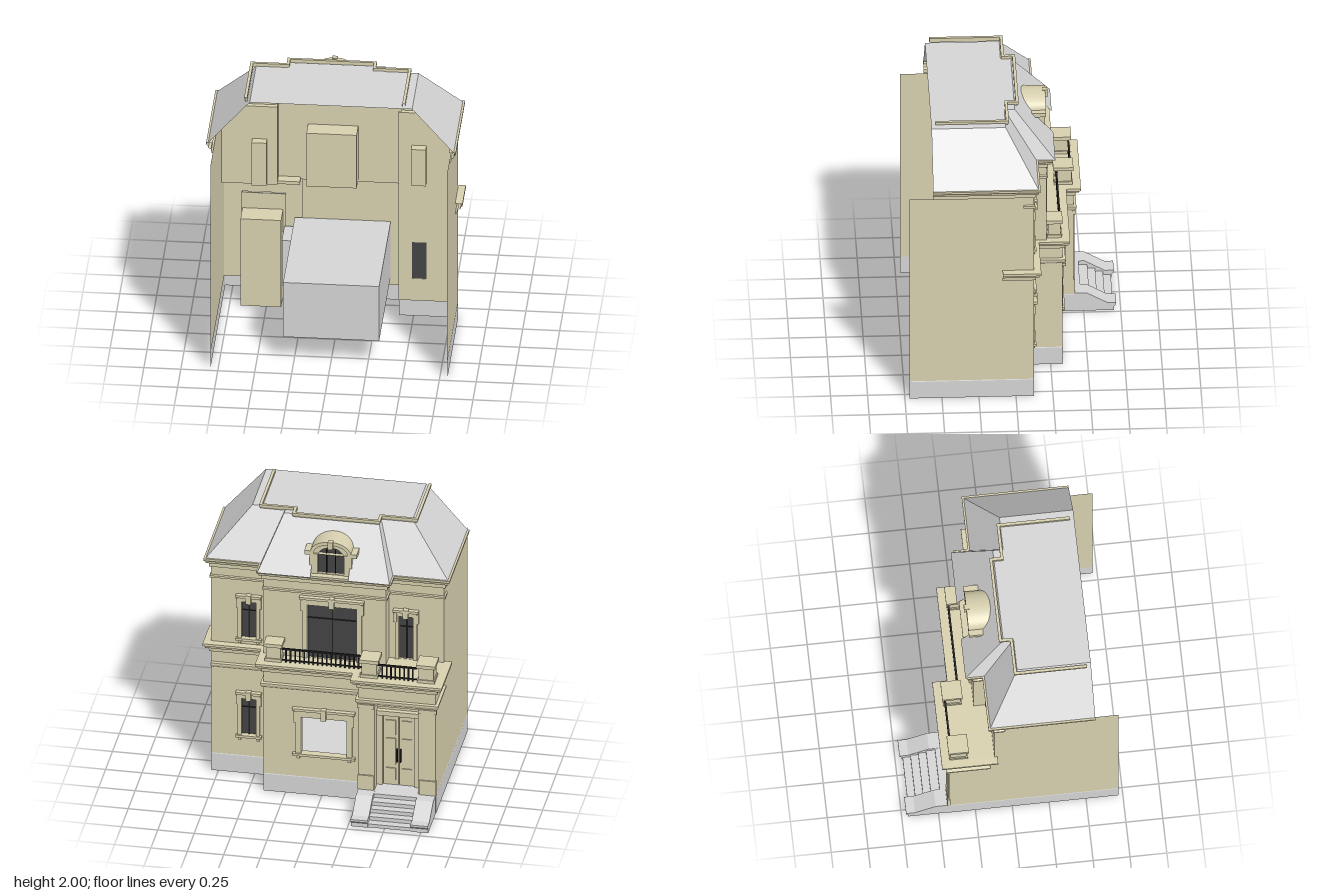
import * as THREE from 'three';

const material = (name, color) => {
  const m = new THREE.MeshStandardMaterial({ color, side: THREE.DoubleSide });
  m.name = name;
  return m;
};

export function createModel() {
  const house = new THREE.Group();
  house.name = 'townHouse';
  const stone = material('sandstone', 0xd6cfae);
  const grey = material('greySlate', 0xd4d4d4);
  const dark = material('darkGlass', 0x444444);
  const iron = material('blackIron', 0x202020);

  const add = (name, geo, mat, parent = house) => {
    const m = new THREE.Mesh(geo, mat);
    m.name = name;
    parent.add(m);
    return m;
  };
  const box = (name, mat, x0, x1, y0, y1, z0, z1, parent) => {
    const g = new THREE.BoxGeometry(x1 - x0, y1 - y0, z1 - z0);
    g.translate((x0 + x1) / 2, (y0 + y1) / 2, (z0 + z1) / 2);
    return add(name, g, mat, parent);
  };
  // flat four-cornered faces
  const quads = (name, mat, list) => {
    const p = [];
    for (const [a, b, c, d] of list) p.push(...a, ...b, ...c, ...a, ...c, ...d);
    const g = new THREE.BufferGeometry();
    g.setAttribute('position', new THREE.Float32BufferAttribute(p, 3));
    g.computeVertexNormals();
    return add(name, g, mat);
  };
  // profile of [outward, y] run along a plan path of [x, z] with mitred corners
  const sweep = (name, mat, path, profile) => {
    const normals = path.slice(1).map(([x, z], i) => {
      const dx = x - path[i][0], dz = z - path[i][1], l = Math.hypot(dx, dz);
      return [-dz / l, dx / l];
    });
    const rings = path.map(([x, z], i) => {
      const a = normals[Math.max(i - 1, 0)], b = normals[Math.min(i, normals.length - 1)];
      const k = 1 + a[0] * b[0] + a[1] * b[1];
      return profile.map(([o, y]) => [x + o * (a[0] + b[0]) / k, y, z + o * (a[1] + b[1]) / k]);
    });
    const list = [];
    for (let i = 0; i + 1 < rings.length; i++)
      for (let j = 0; j + 1 < profile.length; j++)
        list.push([rings[i][j], rings[i + 1][j], rings[i + 1][j + 1], rings[i][j + 1]]);
    return quads(name, mat, list);
  };
  const rect = (Type, x0, x1, y0, y1) => new Type([[x0, y0], [x1, y0], [x1, y1], [x0, y1]].map(p => new THREE.Vector2(...p)));
  // wall facing the street, with rectangular openings [x0, x1, y0, y1]
  const wall = (name, x0, x1, y0, y1, z, depth, holes) => {
    const s = rect(THREE.Shape, x0, x1, y0, y1);
    s.holes = holes.map(h => rect(THREE.Path, ...h));
    const g = new THREE.ExtrudeGeometry(s, { depth, bevelEnabled: false });
    g.translate(0, 0, z);
    return add(name, g, stone);
  };
  const sidePlane = (name, x, z0, z1, y0, y1) =>
    quads(name, stone, [[[x, y0, z0], [x, y0, z1], [x, y1, z1], [x, y1, z0]]]);

  // Walls
  wall('leftWingWall', 0.4, 0.8, 0.13, 1.58, -0.12, 0.02, [[0.49, 0.59, 0.3, 0.58], [0.49, 0.59, 1.05, 1.33]]);
  wall('rightWingWall', -0.8, -0.42, 0.98, 1.58, -0.12, 0.02, [[-0.59, -0.49, 1.0, 1.33]]);
  wall('lowerBayWall', -0.27, 0.4, 0.13, 0.98, -0.33, 0.03, [[-0.17, 0.14, 0.32, 0.6]]);
  wall('upperBayWall', -0.42, 0.42, 0.98, 1.6, -0.22, 0.03, [[-0.22, 0.12, 1.0, 1.41]]);
  wall('porchFront', -0.8, -0.27, 0.13, 0.98, -0.43, 0.1, [[-0.68, -0.38, 0.135, 0.79]]);
  sidePlane('leftSideWall', 0.8, 0.72, -0.12, 0.13, 1.58);
  sidePlane('rightSideWall', -0.8, 0.72, -0.12, 0.13, 1.58);
  sidePlane('porchSideWall', -0.8, -0.12, -0.43, 0.13, 0.98);
  sidePlane('lowerBaySide', 0.4, -0.12, -0.33, 0.13, 0.98);
  for (const x of [-0.42, 0.42]) sidePlane('upperBaySide', x, -0.12, -0.22, 0.98, 1.6);
  const ground = [[0.8, 0.72], [0.8, -0.12], [0.4, -0.12], [0.4, -0.33], [-0.27, -0.33], [-0.27, -0.43], [-0.8, -0.43], [-0.8, 0.72]];
  sweep('plinth', grey, ground, [[0.002, 0], [0.002, 0.13], [0, 0.135]]);

  // Mouldings
  const upper = (back) => [[0.8, back], [0.8, -0.12], [0.42, -0.12], [0.42, -0.22], [-0.42, -0.22], [-0.42, -0.12], [-0.8, -0.12], [-0.8, back]];
  const lower = [[0.8, 0.09], ...ground.slice(1, 7), [-0.8, -0.1]];
  sweep('eavesCornice', stone, upper(0.56), [[0, 1.575], [0.012, 1.58], [0.012, 1.605], [0.03, 1.615], [0.035, 1.63], [0.045, 1.64], [0.045, 1.655], [0, 1.655]]);
  sweep('upperStringCourse', stone, upper(-0.05), [[0, 1.495], [0.01, 1.495], [0.01, 1.51], [0, 1.515]]);
  sweep('balconyCornice', stone, lower, [[0, 0.92], [0.012, 0.925], [0.015, 0.95], [0.035, 0.96], [0.04, 0.975], [0.05, 0.98], [0.05, 0.998], [0, 1.0]]);
  sweep('lowerStringCourse', stone, lower.slice(1, 7).concat([[-0.8, -0.15]]), [[0, 0.8], [0.01, 0.805], [0.02, 0.825], [0.02, 0.838], [0, 0.842]]);

  // Mansard roof
  const eave = [[0.835, 0.56], [0.835, -0.155], [0.455, -0.155], [0.455, -0.28], [-0.455, -0.28], [-0.455, -0.155], [-0.835, -0.155], [-0.835, 0.56]];
  const crown = [[0.55, 0.56], [0.55, 0.06], [0.32, 0.06], [0.32, -0.01], [-0.33, -0.01], [-0.33, 0.06], [-0.55, 0.06], [-0.55, 0.56]];
  const at = ([x, z], y) => [x, y, z];
  const slopeZ = (y) => -0.28 + (y - 1.65) * 0.27 / 0.33;
  const slopes = [];
  for (let i = 0; i < 7; i++)
    if (i !== 3) slopes.push([at(eave[i], 1.65), at(eave[i + 1], 1.65), at(crown[i + 1], 1.98), at(crown[i], 1.98)]);
  // bay slope, left open where the dormer stands
  const nx0 = -0.17, nx1 = 0.09, ny = 1.82;
  slopes.push(
    [[0.455, 1.65, -0.28], [nx1, 1.65, -0.28], [nx1, 1.98, -0.01], [0.32, 1.98, -0.01]],
    [[nx0, 1.65, -0.28], [-0.455, 1.65, -0.28], [-0.33, 1.98, -0.01], [nx0, 1.98, -0.01]],
    [[nx1, ny, slopeZ(ny)], [nx0, ny, slopeZ(ny)], [nx0, 1.98, -0.01], [nx1, 1.98, -0.01]],
    [[-0.55, 1.98, 0.06], [0.55, 1.98, 0.06], [0.55, 1.98, 0.56], [-0.55, 1.98, 0.56]],
    [[-0.33, 1.98, -0.01], [0.32, 1.98, -0.01], [0.32, 1.98, 0.06], [-0.33, 1.98, 0.06]]);
  quads('mansardRoof', grey, slopes);
  sweep('roofCrest', stone, [[0.49, 0.53], [0.49, 0.045], [0.25, 0.045], [0.25, -0.03], [-0.335, -0.03], [-0.335, 0.045], [-0.58, 0.045], [-0.58, 0.53]],
    [[-0.01, 1.97], [0.003, 1.97], [0.01, 1.985], [0.01, 2], [-0.01, 2], [-0.01, 1.97]]);

  // Dormer: arched front, barrel roof dying into the slope, eared mouldings
  const cx = -0.04;
  const arch = (Type, rx, ry, y0, spring) => {
    const s = new Type();
    s.moveTo(cx - rx, y0);
    s.lineTo(cx + rx, y0);
    s.lineTo(cx + rx, spring);
    s.absellipse(cx, spring, rx, ry, 0, Math.PI, false, 0);
    s.lineTo(cx - rx, y0);
    return s;
  };
  const face = arch(THREE.Shape, 0.13, 0.085, 1.65, 1.81);
  face.holes = [arch(THREE.Path, 0.09, 0.07, 1.66, 1.79)];
  const faceGeo = new THREE.ExtrudeGeometry(face, { depth: 0.03, bevelEnabled: false, curveSegments: 20 });
  faceGeo.translate(0, 0, -0.22);
  add('dormerFront', faceGeo, stone);
  const hood = arch(THREE.Shape, 0.14, 0.09, 1.81, 1.82);
  hood.holes = [arch(THREE.Path, 0.115, 0.065, 1.811, 1.82)];
  const hoodGeo = new THREE.ExtrudeGeometry(hood, { depth: 0.2, bevelEnabled: false, curveSegments: 20 });
  const hp = hoodGeo.attributes.position;
  for (let i = 0; i < hp.count; i++) hp.setZ(i, hp.getZ(i) > 0.1 ? slopeZ(hp.getY(i)) : -0.23);
  add('dormerBarrelRoof', hoodGeo, stone);
  const pane = new THREE.ShapeGeometry(arch(THREE.Shape, 0.092, 0.072, 1.655, 1.79), 16);
  pane.translate(0, 0, -0.2);
  add('dormerGlass', pane, dark);
  for (const x of [cx - 0.03, cx + 0.03]) box('dormerBar', iron, x - 0.003, x + 0.003, 1.66, 1.84, -0.21, -0.2);
  box('dormerKeystone', stone, cx - 0.018, cx + 0.018, 1.86, 1.915, -0.245, -0.21);
  for (const s of [-1, 1]) {
    const a = cx + s * 0.12, e = cx + s * 0.155;
    box('dormerCheek', stone, a - 0.025, a + 0.025, 1.65, 1.81, -0.225, -0.14);
    box('dormerEar', stone, e - 0.025, e + 0.025, 1.8, 1.83, -0.23, -0.125);
  }

  // Windows: glass, bars, architrave, hood with keystone, and a closed box behind
  const windowUnit = (name, x0, x1, y0, y1, z, { f = 0.025, glass = true, back = 0, sill = true } = {}) => {
    const g = new THREE.Group();
    g.name = name;
    house.add(g);
    const mid = (x0 + x1) / 2, f2 = f * 1.5;
    if (glass) {
      box('glass', dark, x0, x1, y0, y1, z + 0.014, z + 0.018, g);
      box('centreBar', iron, mid - 0.004, mid + 0.004, y0, y1, z + 0.006, z + 0.014, g);
      box('transom', iron, x0, x1, y1 - (y1 - y0) * 0.27, y1 - (y1 - y0) * 0.25, z + 0.008, z + 0.014, g);
    }
    if (back) box('recess', stone, x0, x1, y0, y1, z + 0.02, back, g);
    for (const [a, b, s] of [[x0 - f, x0, -1], [x1, x1 + f, 1]]) {
      box('jamb', stone, a, b, y0, y1, z - 0.014, z, g);
      const e = s < 0 ? a : b;
      box('ear', stone, e - 0.012, e + 0.012, y1 - 0.045, y1 + f, z - 0.017, z, g);
    }
    box('lintel', stone, x0 - f, x1 + f, y1, y1 + f, z - 0.014, z, g);
    box('hood', stone, x0 - f2, x1 + f2, y1 + f + 0.012, y1 + f + 0.03, z - 0.032, z, g);
    box('hoodBed', stone, x0 - f, x1 + f, y1 + f, y1 + f + 0.012, z - 0.02, z, g);
    box('keystone', stone, mid - 0.018, mid + 0.018, y1 - 0.005, y1 + f + 0.036, z - 0.036, z, g);
    if (sill) {
      box('sill', stone, x0 - f2, x1 + f2, y0 - 0.018, y0, z - 0.025, z, g);
      for (const x of [x0 - f / 2, x1 + f / 2]) box('bracket', stone, x - 0.01, x + 0.01, y0 - 0.04, y0 - 0.018, z - 0.015, z, g);
    }
  };
  windowUnit('lowerWingWindow', 0.49, 0.59, 0.3, 0.58, -0.12);
  windowUnit('upperWingWindow', 0.49, 0.59, 1.05, 1.33, -0.12, { back: -0.04 });
  windowUnit('porchBalconyDoor', -0.59, -0.49, 1.0, 1.33, -0.12, { back: -0.04, sill: false });
  windowUnit('bayBalconyDoor', -0.22, 0.12, 1.0, 1.41, -0.22, { f: 0.035, back: -0.06, sill: false });
  windowUnit('bayWindow', -0.17, 0.14, 0.32, 0.6, -0.33, { f: 0.04, glass: false });

  // Room behind the bay window, open towards the street
  const room = box('displayRoom', grey, -0.32, 0.33, 0.2, 0.62, -0.3, 0.6).geometry;
  room.setIndex(Array.from(room.index.array).slice(0, 30));
  room.clearGroups();
  box('roomSideBox', grey, -0.39, -0.32, 0.2, 0.55, -0.3, -0.1);

  // Balcony floor, pedestals and iron railings
  box('bayBalconyFloor', stone, -0.27, 0.4, 0.975, 0.998, -0.33, -0.2);
  box('porchBalconyFloor', stone, -0.8, -0.27, 0.975, 0.998, -0.43, -0.12);
  for (const [x0, x1, z0, z1] of [[-0.79, -0.67, -0.425, -0.3], [-0.4, -0.28, -0.425, -0.3], [0.28, 0.395, -0.325, -0.225]]) {
    box('pedestal', stone, x0 + 0.008, x1 - 0.008, 1.0, 1.11, z0 + 0.008, z1 - 0.008);
    box('pedestalBase', stone, x0, x1, 0.998, 1.02, z0, z1);
    box('pedestalCap', stone, x0 - 0.006, x1 + 0.006, 1.11, 1.135, z0 - 0.006, z1 + 0.006);
  }
  for (const [x0, x1, z, n] of [[-0.67, -0.4, -0.412, 9], [-0.28, 0.28, -0.316, 18]]) {
    box('topRail', iron, x0, x1, 1.095, 1.107, z - 0.006, z + 0.006);
    box('bottomRail', iron, x0, x1, 1.012, 1.02, z - 0.004, z + 0.004);
    for (let i = 1; i < n; i++) {
      const x = x0 + (x1 - x0) * i / n;
      box('baluster', iron, x - 0.005, x + 0.005, 1.0, 1.1, z - 0.004, z + 0.004);
    }
  }

  // Porch pilasters, door and the box behind it
  for (const [x0, x1] of [[-0.8, -0.69], [-0.37, -0.27]]) {
    box('pilaster', stone, x0 + 0.01, x1 - 0.01, 0.26, 0.77, -0.438, -0.42);
    box('pilasterBase', stone, x0 - 0.004, x1 + 0.004, 0.14, 0.25, -0.44, -0.42);
    box('pilasterCapital', stone, x0 - 0.008, x1 + 0.008, 0.77, 0.8, -0.444, -0.42);
  }
  box('doorBacking', stone, -0.68, -0.38, 0, 0.79, -0.325, -0.315);
  box('doorRecess', stone, -0.675, -0.4, 0, 0.67, -0.315, -0.16);
  for (const x of [-0.66, -0.4]) box('doorJamb', stone, x - 0.02, x + 0.02, 0.14, 0.7, -0.35, -0.32);
  box('doorHead', stone, -0.68, -0.38, 0.68, 0.715, -0.36, -0.32);
  for (const [x, s] of [[-0.585, 1], [-0.475, -1]]) {
    box('doorLeaf', stone, x - 0.052, x + 0.052, 0.14, 0.67, -0.334, -0.32);
    for (const [y0, y1] of [[0.18, 0.27], [0.3, 0.5], [0.53, 0.64]])
      box('doorPanel', stone, x - 0.034, x + 0.034, y0, y1, -0.341, -0.33);
    box('doorHandle', iron, x + s * 0.043 - 0.004, x + s * 0.043 + 0.004, 0.32, 0.42, -0.35, -0.334);
  }

  // Entrance steps between sloping cheek walls
  box('porchFloor', grey, -0.68, -0.38, 0, 0.138, -0.48, -0.32);
  for (let i = 0; i < 4; i++) box('step', grey, -0.69, -0.37, 0, 0.11 - i * 0.028, -0.54 - i * 0.053, -0.46);
  const profile = [[0.43, 0], [0.43, 0.14], [0.52, 0.14], [0.66, 0.06], [0.72, 0.06], [0.72, 0.045], [0.705, 0.03], [0.705, 0]];
  for (const [x0, x1] of [[-0.8, -0.68], [-0.385, -0.27]]) {
    const g = new THREE.ExtrudeGeometry(new THREE.Shape(profile.map(p => new THREE.Vector2(...p))), { depth: x1 - x0, bevelEnabled: false });
    g.rotateY(Math.PI / 2);
    g.translate(x0, 0, 0);
    add('stairCheek', g, grey);
  }
  return house;
}
